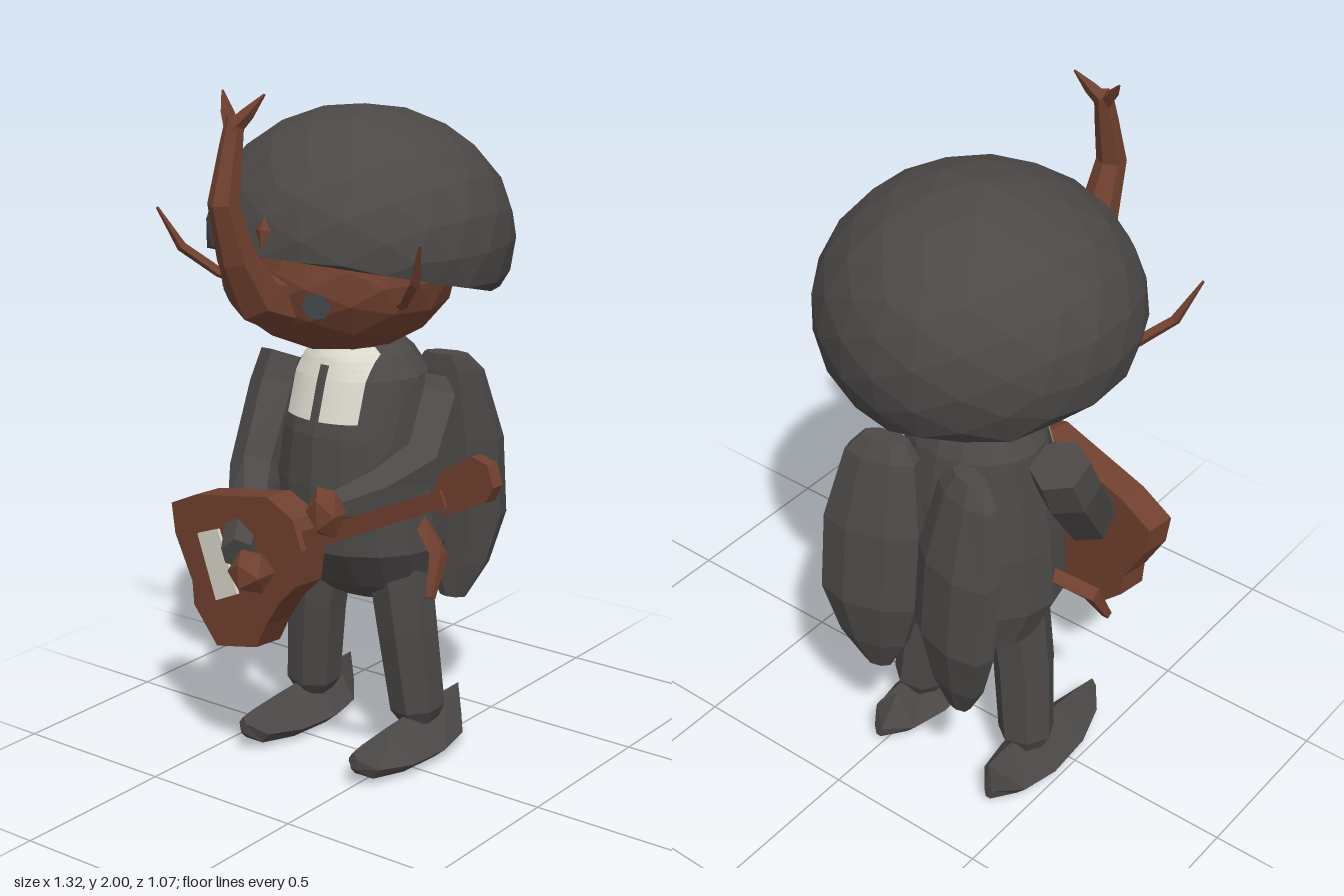
import * as THREE from 'three';

const V = (x, y, z) => new THREE.Vector3(x, y, z);
const MID = -0.195; // symmetry line of the figure
const mat = (name, color, side = THREE.FrontSide) => {
  const m = new THREE.MeshStandardMaterial({ color, flatShading: true, side });
  m.name = name;
  return m;
};

// Skin a list of equal-length rings and close both ends; faces always end up pointing outward
function loft(rings) {
  const tris = [], n = rings[0].length;
  for (let i = 0; i + 1 < rings.length; i++)
    for (let j = 0; j < n; j++) {
      const k = (j + 1) % n, a = rings[i], b = rings[i + 1];
      tris.push([a[j], a[k], b[k]], [a[j], b[k], b[j]]);
    }
  const last = rings[rings.length - 1];
  for (let j = 1; j + 1 < n; j++) {
    tris.push([rings[0][0], rings[0][j + 1], rings[0][j]], [last[0], last[j], last[j + 1]]);
  }
  const o = rings[0][0];
  let volume = 0;
  for (const [a, b, c] of tris)
    volume += a.clone().sub(o).dot(b.clone().sub(o).cross(c.clone().sub(o)));
  const pts = tris.flatMap(([a, b, c]) => (volume < 0 ? [a, c, b] : [a, b, c]));
  const g = new THREE.BufferGeometry().setFromPoints(pts);
  g.computeVertexNormals();
  return g;
}

// Tapered tube through points with one radius per point
function limb(points, radii, sides = 6) {
  return loft(points.map((p, i) => {
    const t = points[Math.min(i + 1, points.length - 1)].clone()
      .sub(points[Math.max(i - 1, 0)]).normalize();
    const ref = Math.abs(t.x) > 0.85 ? V(0, 1, 0) : V(1, 0, 0);
    const v = t.clone().cross(ref).normalize(), u = v.clone().cross(t);
    return Array.from({ length: sides }, (_, j) => {
      const a = ((j + 0.5) / sides) * Math.PI * 2;
      return p.clone().addScaledVector(u, Math.cos(a) * radii[i])
        .addScaledVector(v, Math.sin(a) * radii[i]);
    });
  }));
}

// Torso sections: y, half width, half depth, centre z
const TORSO = [
  [0.48, 0.15, 0.1, -0.13], [0.54, 0.22, 0.175, -0.125], [0.66, 0.265, 0.23, -0.09],
  [0.85, 0.25, 0.235, -0.09], [1.0, 0.225, 0.22, -0.09], [1.16, 0.2, 0.18, -0.1],
  [1.22, 0.15, 0.155, -0.1], [1.25, 0.1, 0.13, -0.1],
];
function torsoFront(dx, y) {
  let i = 0;
  while (i < TORSO.length - 2 && TORSO[i + 1][0] < y) i++;
  const a = TORSO[i], b = TORSO[i + 1], f = (y - a[0]) / (b[0] - a[0]);
  const [rx, rz, cz] = [1, 2, 3].map((k) => a[k] + (b[k] - a[k]) * f);
  const x = THREE.MathUtils.clamp(dx, -0.9 * rx, 0.9 * rx);
  return V(MID + x, y, cz + rz * Math.sqrt(1 - (x / rx) ** 2) + 0.009);
}

export function createModel() {
  const model = new THREE.Group();
  model.name = 'beetleMusician';
  const grey = mat('charcoal', 0x4b4847);
  const brown = mat('brown', 0x70402f);
  const cream = mat('cream', 0xd9d6ca, THREE.DoubleSide);
  const slate = mat('slate', 0x4a5153, THREE.DoubleSide);
  const add = (name, geometry, material, parent = model) => {
    const m = new THREE.Mesh(geometry, material);
    m.name = name;
    parent.add(m);
    return m;
  };

  // Hair: dome cut off by a plane sloping down to the back
  const hair = new THREE.IcosahedronGeometry(1, 3).scale(0.44, 0.37, 0.442).translate(MID, 1.547, -0.096);
  const hp = hair.attributes.position;
  for (let i = 0; i < hp.count; i++) {
    hp.setY(i, Math.max(hp.getY(i), 1.465 + 0.26 * hp.getZ(i)));
  }
  hair.computeVertexNormals();
  add('hair', hair, grey);

  // Head and eyes
  add('head', new THREE.IcosahedronGeometry(1, 2).scale(0.345, 0.235, 0.318).translate(MID, 1.475, 0.012), brown);
  for (const s of [1, -1]) {
    const eye = add(s > 0 ? 'leftEye' : 'rightEye', new THREE.CircleGeometry(0.042, 6), slate);
    eye.position.set(MID + s * 0.152, 1.43, 0.297);
    eye.lookAt(eye.position.clone().add(V(s * 0.38, -0.25, 0.9)));
  }

  // Curved horn with a forked tip, and its root running up through the hair
  add('horn', limb([V(MID, 1.42, 0.24), V(MID, 1.455, 0.37), V(MID, 1.57, 0.44), V(MID, 1.72, 0.49),
    V(MID, 1.86, 0.455), V(MID, 1.94, 0.435)], [0.1, 0.075, 0.055, 0.042, 0.032, 0.025]), brown);
  add('hornRoot', limb([V(MID, 1.52, 0.29), V(MID, 1.62, 0.3), V(MID, 1.72, 0.26)],
    [0.05, 0.046, 0.025]), brown);

  // Torso
  add('torso', loft(TORSO.map(([y, rx, rz, cz]) => Array.from({ length: 16 }, (_, j) => {
    const a = (j / 16) * Math.PI * 2;
    return V(MID + Math.sin(a) * rx, y, cz + Math.cos(a) * rz);
  }))), grey);

  // Shirt front: panels laid over the chest
  const shirt = (name, dx, y, w, h) => {
    const g = new THREE.PlaneGeometry(w, h, 6, 12);
    const p = g.attributes.position;
    for (let i = 0; i < p.count; i++) {
      const q = torsoFront(dx + p.getX(i), y + p.getY(i));
      p.setXYZ(i, q.x, q.y, q.z);
    }
    g.computeVertexNormals();
    add(name, g, cream);
  };
  shirt('leftShirtPanel', 0.0705, 1.145, 0.111, 0.2);
  shirt('rightShirtPanel', -0.0705, 1.145, 0.111, 0.2);
  shirt('collar', 0, 1.222, 0.05, 0.046);

  // Parts that exist on both sides
  for (const s of [1, -1]) {
    const side = s > 0 ? 'left' : 'right';
    const P = (dx, y, z) => V(MID + s * dx, y, z);

    add(side + 'HornTip', limb([P(0, 1.91, 0.445), P(0.035, 1.95, 0.425), P(0.072, 2, 0.4)],
      [0.024, 0.018, 0.003], 4), brown);
    add(side + 'Antenna', limb([P(0.24, 1.4, 0.09), P(0.33, 1.435, 0.14), P(0.412, 1.51, 0.205), P(0.46, 1.625, 0.25)],
      [0.016, 0.016, 0.015, 0.004], 4), brown);
    add(side + 'MiddleLimb', limb([P(0.22, 0.75, -0.08), P(0.34, 0.68, -0.01), P(0.355, 0.57, 0.05)],
      [0.028, 0.028, 0.014], 4), brown);

    // Leg
    add(side + 'Leg', limb([P(0.14, 0.6, -0.09), P(0.17, 0.4, -0.09), P(0.197, 0.15, -0.105), P(0.2, 0.11, -0.11)],
      [0.095, 0.09, 0.083, 0.06], 7), grey);

    // Boat-shaped shoe with a ridge on top and narrow ends: z, half width, bottom, top
    add(side + 'Shoe', loft([[0.22, 0.014, 0.065, 0.115], [0.17, 0.055, 0.025, 0.12], [0.05, 0.09, 0.008, 0.128],
      [-0.1, 0.097, 0.002, 0.138], [-0.22, 0.075, 0.008, 0.148], [-0.3, 0.014, 0.025, 0.155]].map(([z, w, b, t]) =>
      [[-w, b + 0.032], [-0.6 * w, b], [0.6 * w, b], [w, b + 0.032], [0.12 * w, t], [-0.12 * w, t]]
        .map(([x, y]) => P(0.207 + x, y, z)))), grey);

    // Plump wing case, its outer edge swung a little backward: y, centre z, half width, half thickness
    add(side + 'WingCase', loft([[1.18, -0.315, 0.065, 0.03], [1.13, -0.33, 0.105, 0.045], [0.92, -0.365, 0.145, 0.07],
      [0.68, -0.385, 0.145, 0.07], [0.52, -0.375, 0.1, 0.05], [0.41, -0.36, 0.04, 0.025]].map(([y, z, w, t]) =>
      Array.from({ length: 8 }, (_, j) => {
        const a = ((j + 0.5) / 8) * Math.PI * 2, u = Math.cos(a) * w * 1.06, v = Math.sin(a) * t * 1.06;
        return P(0.145 + u * 0.966 + v * 0.259, y, z + v * 0.966 - u * 0.259);
      }))), grey);
  }

  // Arms and hands
  add('leftArm', limb([V(0.03, 1.12, -0.13), V(0.09, 1.085, -0.06), V(0.15, 0.97, 0.1), V(0.12, 0.93, 0.25),
    V(0.08, 0.915, 0.38)], [0.06, 0.09, 0.085, 0.065, 0.045]), grey);
  add('leftHand', new THREE.IcosahedronGeometry(0.072, 0).scale(0.8, 1.08, 0.7).translate(0.075, 0.905, 0.41), brown);
  add('rightArm', limb([V(-0.47, 1.15, -0.1), V(-0.475, 1.06, -0.06), V(-0.44, 0.85, 0.09), V(-0.35, 0.78, 0.23),
    V(-0.24, 0.72, 0.41)], [0.085, 0.09, 0.08, 0.065, 0.05]), grey);
  add('rightHand', new THREE.IcosahedronGeometry(0.067, 0).translate(-0.18, 0.685, 0.425), brown);

  // Guitar: laid out flat around its centre, then turned to follow the arms
  const guitar = new THREE.Group();
  guitar.name = 'guitar';
  guitar.position.set(-0.3, 0, 0.305);
  guitar.rotation.y = -0.155;
  model.add(guitar);
  const slab = (name, points, depth, z, material = brown) => {
    const shape = new THREE.Shape(points.map(([x, y]) => new THREE.Vector2((x + 0.3) / 0.988, y)));
    const g = new THREE.ExtrudeGeometry(shape, { depth, bevelEnabled: false });
    add(name, g.translate(0, 0, z - depth / 2), material, guitar);
  };
  slab('guitarBody', [[-0.575, 0.775], [-0.562, 0.685], [-0.49, 0.555], [-0.485, 0.485], [-0.386, 0.385],
    [-0.215, 0.43], [-0.17, 0.51], [-0.11, 0.595], [-0.04, 0.66], [-0.02, 0.767], [-0.055, 0.85], [-0.16, 0.89],
    [-0.3, 0.86], [-0.466, 0.825]], 0.09, 0);
  slab('guitarBridge', [[-0.45, 0.715], [-0.375, 0.53], [-0.28, 0.575], [-0.36, 0.75]], 0.008, 0.051, cream);
  slab('guitarNeck', [[-0.07, 0.76], [-0.05, 0.75], [0.5, 1.015], [0.48, 1.055], [-0.07, 0.8]], 0.022, 0.015);
  slab('headstock', [[0.45, 1.04], [0.485, 0.985], [0.63, 1.055], [0.655, 1.1], [0.635, 1.155],
    [0.58, 1.165], [0.47, 1.1]], 0.035, 0);

  return model;
}
